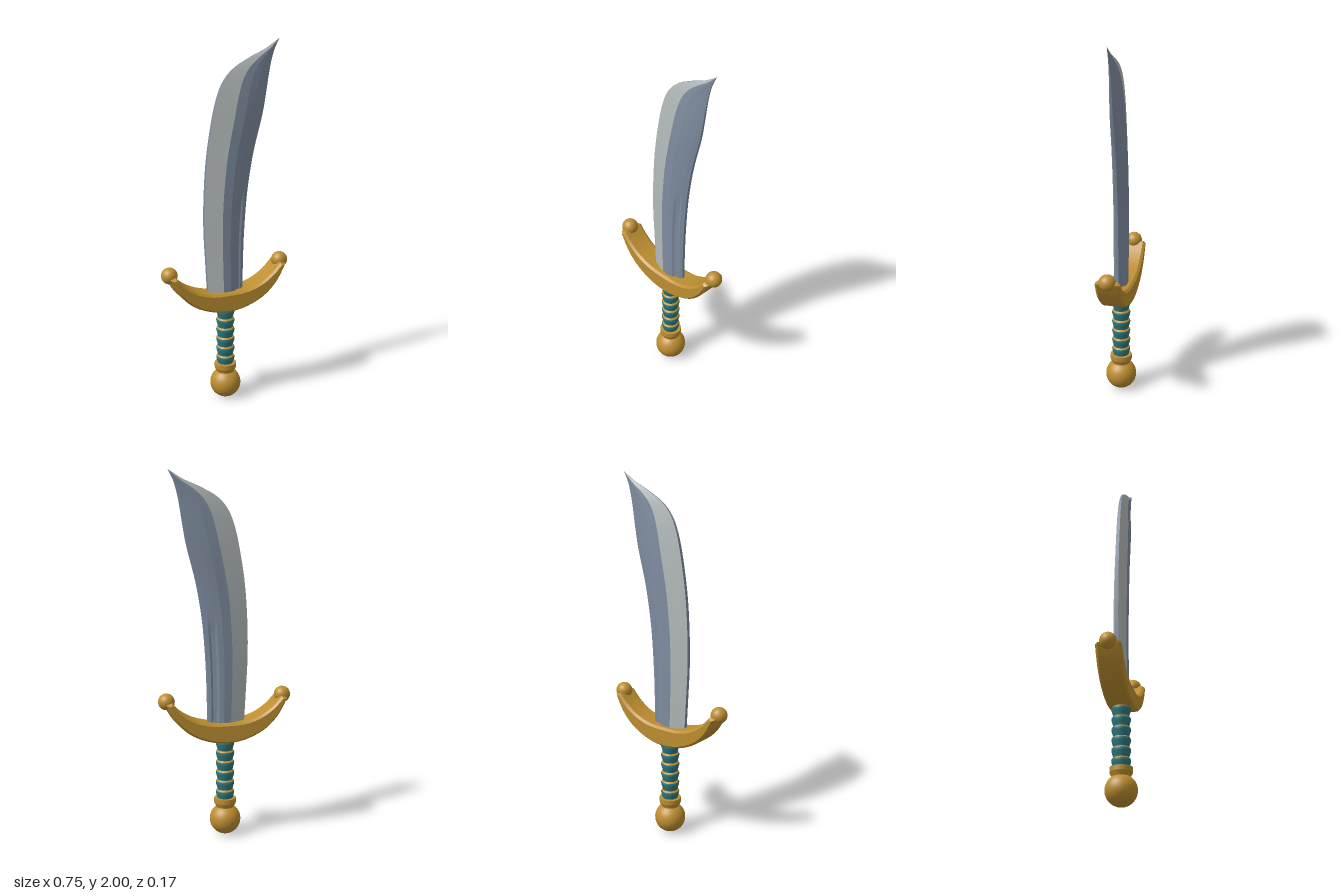
import * as THREE from 'three';

const mat = (name, color) => {
  const m = new THREE.MeshStandardMaterial({ color });
  m.name = name;
  return m;
};

export function createModel() {
  const gold = mat('gold', 0xbd8e30);
  const teal = mat('teal leather', 0x2f7b80);
  const steel = mat('blue steel', 0x7f8da0);
  const silver = mat('silver edge', 0xb4babb);

  const model = new THREE.Group();
  model.name = 'curvedSword';
  const add = (name, geometry, material, x = 0, y = 0, z = 0) => {
    const mesh = new THREE.Mesh(geometry, material);
    mesh.name = name;
    mesh.position.set(x, y, z);
    model.add(mesh);
    return mesh;
  };
  const lathe = (pts) => new THREE.LatheGeometry(pts.map((p) => new THREE.Vector2(...p)), 32);

  // Blade outline: height, left edge, right edge, thickness scale
  const outline = [
    [0.58, -0.103, 0.1, 1], [0.8, -0.115, 0.102, 1], [1.0, -0.125, 0.11, 1],
    [1.2, -0.122, 0.127, 1], [1.4, -0.107, 0.16, 0.97], [1.6, -0.075, 0.211, 0.9],
    [1.72, -0.045, 0.233, 0.76], [1.8, -0.008, 0.246, 0.6], [1.86, 0.05, 0.257, 0.46],
    [1.91, 0.14, 0.27, 0.32], [1.95, 0.23, 0.284, 0.19], [2.0, 0.31, 0.31, 0],
  ];
  const edge = (k) => new THREE.CatmullRomCurve3(
    outline.map((o) => new THREE.Vector3(o[k], o[0], o[3])), false, 'catmullrom', 0.5);
  const leftEdge = edge(1);
  const rightEdge = edge(2);
  const ROWS = 55;

  // Half cross-section: fraction of width, half thickness, groove depth
  const half = [
    [0, 0.01, 0], [0.4, 0.036, 0], [0.6, 0.038, 0], [0.72, 0.032, 0],
    [0.77, 0.029, 0.007], [0.86, 0.022, 0.007], [0.91, 0.018, 0], [1, 0.008, 0],
  ];
  const section = [
    ...half.map((p) => [...p, 1]),
    ...half.slice().reverse().map((p) => [...p, -1]),
  ];
  const bladePoint = ([t, thick, groove, side], row) => {
    const a = leftEdge.getPoint(row / ROWS);
    const b = rightEdge.getPoint(row / ROWS);
    const fade = 1 - THREE.MathUtils.smoothstep(a.y, 1.1, 1.25);
    return [a.x + (b.x - a.x) * t, a.y, side * (thick - groove * fade) * Math.max(0, a.z)];
  };

  // Each band is its own strip: smooth lengthwise, sharp between bands
  const n = section.length;
  for (let j = 0; j < n; j++) {
    const pos = [];
    const index = [];
    for (let i = 0; i <= ROWS; i++) {
      pos.push(...bladePoint(section[j], i), ...bladePoint(section[(j + 1) % n], i));
      const k = i * 2;
      if (i < ROWS) index.push(k, k + 1, k + 3, k, k + 3, k + 2);
    }
    const g = new THREE.BufferGeometry();
    g.setAttribute('position', new THREE.Float32BufferAttribute(pos, 3));
    g.setIndex(index);
    g.computeVertexNormals();
    const cutting = j === 0 || j === n - 2;
    add(cutting ? 'cuttingBevel' : 'bladeFace', g, cutting ? silver : steel);
  }

  // Crescent guard with chamfered rims
  const lower = [[0.325, 0.755], [0.275, 0.668], [0.2, 0.598], [0.1, 0.554], [0, 0.54]];
  const upper = [[0, 0.627], [0.1, 0.632], [0.19, 0.66], [0.26, 0.705], [0.312, 0.758]];
  const v2 = ([x, y], s = 1) => new THREE.Vector2(x * s, y);
  const mirrored = (pts) => pts.slice(0, -1).map((p) => v2(p, -1))
    .concat(pts.slice().reverse().map((p) => v2(p)));
  const shape = new THREE.Shape();
  shape.moveTo(-0.325, 0.755);
  shape.splineThru(mirrored(lower).slice(1));
  const top = mirrored(upper.slice().reverse()).reverse();
  shape.lineTo(top[0].x, top[0].y);
  shape.splineThru(top.slice(1));
  shape.closePath();
  const guard = new THREE.ExtrudeGeometry(shape, {
    depth: 0.11, bevelThickness: 0.013, bevelSize: 0.011, bevelSegments: 1, curveSegments: 32,
  });
  add('guard', guard, gold, 0, 0, -0.055);
  for (const s of [-1, 1]) {
    add('guardKnob', new THREE.SphereGeometry(0.045, 32, 20), gold, s * 0.328, 0.77);
  }

  // Grip: flared leather rolls, each capped by a gold ring
  const ROLLS = 6;
  const step = 0.335 / ROLLS;
  for (let i = 0; i < ROLLS; i++) {
    const y = 0.2 + i * step;
    add('gripRoll', lathe([[0.041, 0], [0.044, 0.012], [0.05, 0.032], [0.051, 0.042], [0.049, 0.048]]), teal, 0, y);
    add('gripRing', lathe([[0.049, 0.048], [0.046, 0.053], [0.041, step]]), gold, 0, y);
  }

  // Collar and pommel
  add('collar', lathe([[0.046, 0.14], [0.05, 0.158], [0.058, 0.172], [0.06, 0.18],
    [0.06, 0.18], [0.06, 0.205], [0.06, 0.205], [0.03, 0.207]]), gold);
  add('pommel', new THREE.SphereGeometry(0.085, 40, 28), gold, 0, 0.085);

  return model;
}
